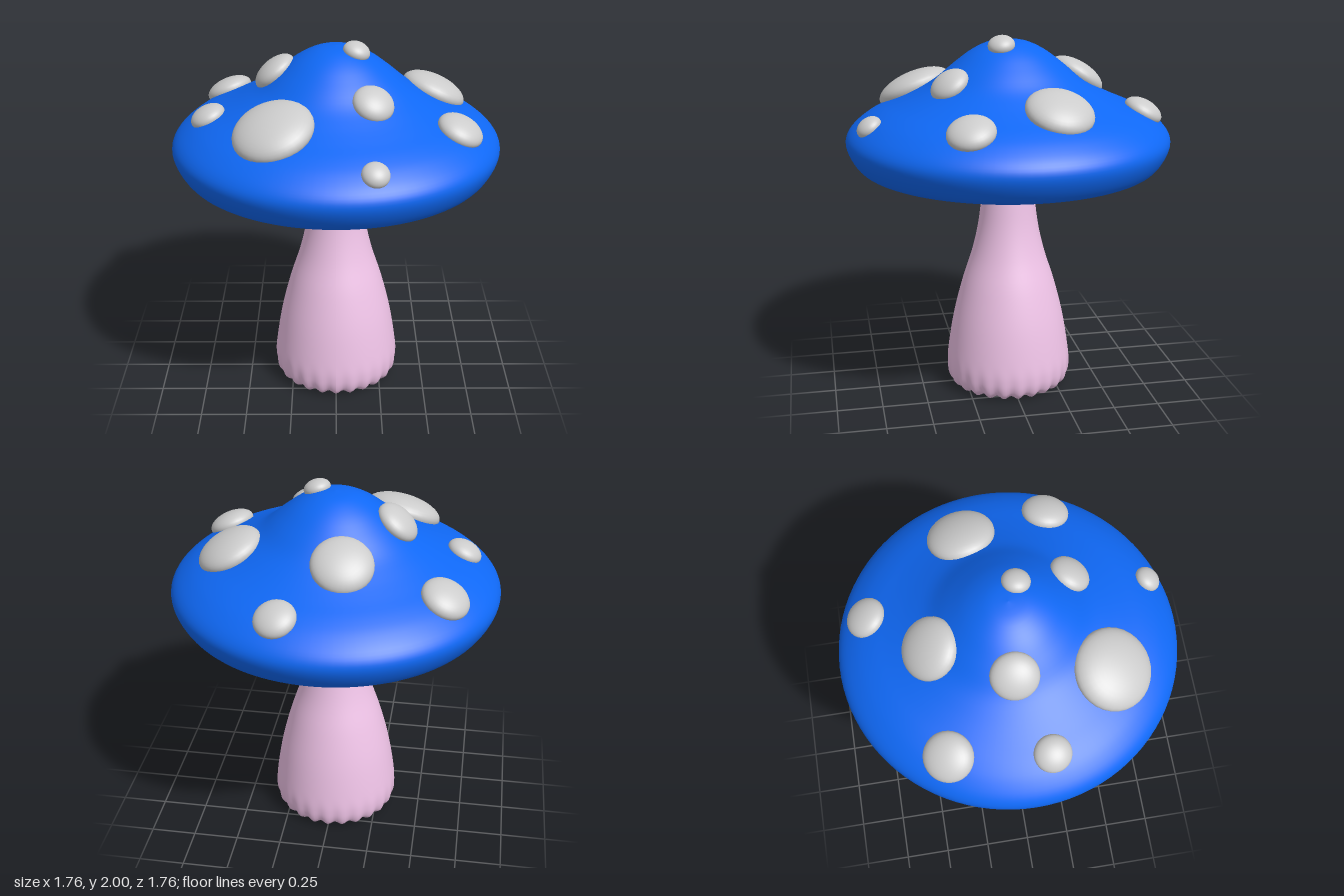
import * as THREE from 'three';

const OUTER = [[0, 1.97], [0.1, 1.957], [0.2, 1.91], [0.3, 1.835], [0.4, 1.752], [0.5, 1.695], [0.6, 1.648],
  [0.7, 1.605], [0.78, 1.56], [0.85, 1.5], [0.878, 1.44], [0.86, 1.37], [0.81, 1.3], [0.74, 1.272]];
const INNER = [[0.68, 1.272], [0.6, 1.29], [0.5, 1.33], [0.4, 1.39], [0.32, 1.46], [0.25, 1.54], [0.18, 1.6], [0.1, 1.64], [0, 1.66]];
const STEM = [[0.32, 0.025], [0.34, 0.055], [0.35, 0.11], [0.345, 0.2], [0.312, 0.4], [0.262, 0.6], [0.205, 0.78],
  [0.17, 0.93], [0.15, 1.08], [0.136, 1.25], [0.13, 1.4], [0.13, 1.63]];

const smooth = (pts, n) => new THREE.SplineCurve(pts.map(([x, y]) => new THREE.Vector2(x, y)))
  .getPoints(n).map(p => new THREE.Vector2(Math.max(p.x, 0), p.y));

// Spots: x, z, radius
const SPOTS = [
  [0.19, -0.70, 0.108], [-0.60, -0.39, 0.128], [-0.09, -0.40, 0.16], [0.53, -0.16, 0.178],
  [-0.32, -0.02, 0.122], [-0.67, 0.11, 0.095], [0.105, 0.055, 0.072], [0.185, 0.34, 0.108],
  [0.63, 0.30, 0.124], [-0.31, 0.47, 0.21], [0.185, 0.76, 0.07]
];

// Height of the cap's upper surface at a given radius
function capHeight(r) {
  const i = OUTER.findIndex(p => p[0] >= r);
  if (i < 1) return OUTER[0][1];
  const [a, b] = [OUTER[i - 1], OUTER[i]];
  return a[1] + (b[1] - a[1]) * (r - a[0]) / (b[0] - a[0]);
}

// Lathe wants the profile running upward for outward faces
function lathe(points, segments) {
  return new THREE.LatheGeometry(points.slice().reverse(), segments);
}

function makeStem(material) {
  // Recessed underside, rounded foot, then the tapering stalk
  const profile = [...smooth([[0, 0.045], [0.12, 0.04], [0.22, 0.025], [0.285, 0.008], ...STEM], 72)];
  const geo = new THREE.LatheGeometry(profile, 144);
  const pos = geo.attributes.position;
  // Scalloped flutes that fade out above the foot
  for (let i = 0; i < pos.count; i++) {
    const x = pos.getX(i), y = pos.getY(i), z = pos.getZ(i);
    const r = Math.hypot(x, z);
    const fade = Math.max(0, 1 - y / 0.2) * THREE.MathUtils.smoothstep(r, 0.1, 0.3);
    const wave = Math.cos(24 * Math.atan2(z, x)) * fade;
    const k = 1 + 0.018 * wave;
    pos.setXYZ(i, x * k, Math.max(0, y - 0.008 * wave), z * k);
  }
  geo.computeVertexNormals();
  const stem = new THREE.Mesh(geo, material);
  stem.name = 'stem';
  return stem;
}

function makeSpot([x, z, radius], material) {
  const r = Math.hypot(x, z), d = 0.05;
  const slope = (capHeight(r + d) - capHeight(r - d)) / (2 * d);
  const normal = new THREE.Vector3(-slope * x / r, 1, -slope * z / r).normalize();
  const spot = new THREE.Mesh(new THREE.SphereGeometry(1, 32, 20), material);
  spot.name = 'spot';
  spot.scale.set(radius, 0.025 + radius * 0.32, radius);
  spot.quaternion.setFromUnitVectors(new THREE.Vector3(0, 1, 0), normal);
  spot.position.set(x, capHeight(r), z).addScaledVector(normal, 0.004);
  return spot;
}

export function createModel() {
  const model = new THREE.Group();
  model.name = 'mushroom';
  const blue = new THREE.MeshStandardMaterial({ color: 0x0f68f5, side: THREE.DoubleSide });
  const pink = new THREE.MeshStandardMaterial({ color: 0xf0c4e8, side: THREE.DoubleSide });
  const grey = new THREE.MeshStandardMaterial({ color: 0xcccccc });

  // Hollow cap with a rounded rim
  const cap = new THREE.Mesh(lathe(smooth([...OUTER, ...INNER], 90), 96), blue);
  cap.name = 'cap';

  const spots = new THREE.Group();
  spots.name = 'spots';
  SPOTS.forEach(s => spots.add(makeSpot(s, grey)));

  model.add(makeStem(pink), cap, spots);
  return model;
}
